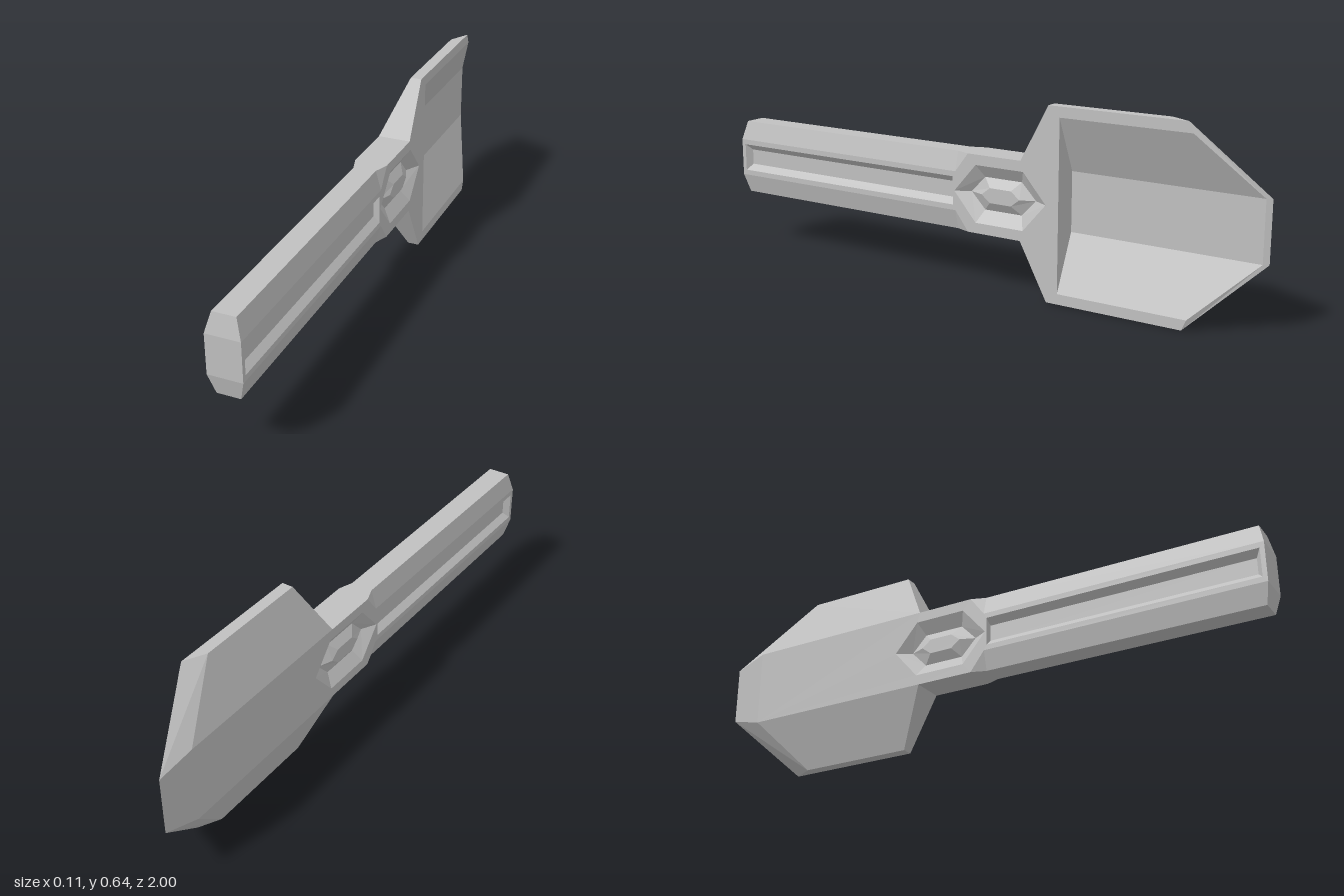
import * as THREE from 'three';

const MID = 0.321;            // height of the long axis
const X = 0.056;              // half thickness
const XT = 0.038;             // half width of the handle's top face
const H = 0.132, HF = 0.066;  // handle half height, half height of its flat side
const B = 0.32;               // blade half height

// Collects flat convex faces; each is wound to face the given outward direction.
function makePart(name, material) {
  const pos = [];
  const v = (p) => new THREE.Vector3(...p);
  return {
    face(out, ...pts) {
      const p = pts.map(v);
      for (let i = 1; i < p.length - 1; i++) {
        let a = p[0], b = p[i], c = p[i + 1];
        const n = b.clone().sub(a).cross(c.clone().sub(a));
        if (n.dot(v(out)) < 0) [b, c] = [c, b];
        for (const q of [a, b, c]) pos.push(q.x, q.y + MID, q.z);
      }
    },
    mesh() {
      const g = new THREE.BufferGeometry();
      g.setAttribute('position', new THREE.Float32BufferAttribute(pos, 3));
      g.computeVertexNormals();
      const m = new THREE.Mesh(g, material);
      m.name = name;
      return m;
    },
  };
}

// Outlines in the side plane, as [z, height] pairs
const hexagon = (len, flat, h) =>
  [[len, 0], [flat, h], [-flat, h], [-len, 0], [-flat, -h], [flat, -h]].map(([z, y]) => [z - 0.12, y]);
const rect = (z0, z1, h) => [[z0, h], [z1, h], [z1, -h], [z0, -h]];

// Sloped faces joining two outlines at different depths, plus a flat floor
function sink(part, side, loops, depths) {
  const at = (p, x) => [side * x, p[1], p[0]];
  for (let k = 0; k < loops.length - 1; k++) {
    loops[k].forEach((p, i) => {
      const j = (i + 1) % loops[k].length;
      part.face([side, 0, 0], at(p, depths[k]), at(loops[k][j], depths[k]),
        at(loops[k + 1][j], depths[k + 1]), at(loops[k + 1][i], depths[k + 1]));
    });
  }
  const last = loops.length - 1;
  part.face([side, 0, 0], ...loops[last].map((p) => at(p, depths[last])));
}

export function createModel() {
  const grey = new THREE.MeshStandardMaterial({ color: 0xc0c0c0, side: THREE.DoubleSide, flatShading: true });
  grey.name = 'light grey';
  const handle = makePart('handle', grey);
  const sides = makePart('sidePanels', grey);
  const slots = makePart('handleSlots', grey);
  const hub = makePart('hexagonalHub', grey);
  const blade = makePart('scoopBlade', grey);

  const slot = [rect(0.985, 0.06, 0.048), rect(0.968, 0.064, 0.027)];
  const hexes = [hexagon(0.174, 0.09, 0.097), hexagon(0.123, 0.07, 0.055), hexagon(0.072, 0.04, 0.025)];

  // Flat sides with openings for the slot and hub; the +x side also frames the scoop
  const handleEdge = [[1, HF], [0.05, HF], [0, H], [-0.2, H]];
  const edges = {
    '1': [...handleEdge, [-0.3, B], [-0.77, B], [-0.785, 0.285], [-0.34, 0.285]],
    '-1': [...handleEdge, [-0.88, H]],
  };
  for (const s of [1, -1]) {
    const upper = edges[s];
    const outline = [...upper, ...upper.map(([z, y]) => [z, -y]).reverse()];
    const toV2 = (loop) => loop.map((p) => new THREE.Vector2(...p));
    let contour = toV2(outline);
    if (THREE.ShapeUtils.isClockWise(contour)) contour.reverse();
    const holes = [slot[0], hexes[0]].map((l) => {
      const h = toV2(l);
      return THREE.ShapeUtils.isClockWise(h) ? h : h.reverse();
    });
    const all = [contour, ...holes].flat();
    for (const tri of THREE.ShapeUtils.triangulateShape(contour, holes)) {
      sides.face([s, 0, 0], ...tri.map((i) => [s * X, all[i].y, all[i].x]));
    }
    sink(slots, s, slot, [X, 0.036]);
    sink(hub, s, hexes, [X, 0.028, 0.048]);
  }

  // Handle end
  handle.face([0, 0, 1], [-X, -HF, 1], [X, -HF, 1], [X, HF, 1], [-X, HF, 1]);

  // Everything mirrored above and below the long axis
  for (const t of [1, -1]) {
    const h = t * H, f = t * HF, b = t * B, c = t * 0.285, d = t * 0.1;
    // handle: sloped end, narrow face, widening neck
    handle.face([0, t, 1], [-X, f, 1], [X, f, 1], [XT, h, 0.985], [-XT, h, 0.985]);
    handle.face([0, t, 0], [-XT, h, 0.985], [XT, h, 0.985], [XT, h, 0.05], [-XT, h, 0.05]);
    handle.face([0, t, 0], [-XT, h, 0.05], [XT, h, 0.05], [X, h, 0], [-X, h, 0]);
    handle.face([0, t, 0], [-X, h, 0], [X, h, 0], [X, h, -0.2], [-X, h, -0.2]);
    // handle: long chamfers and their corner triangles
    for (const s of [1, -1]) {
      handle.face([s, t, 0], [s * X, f, 1], [s * X, f, 0.05], [s * XT, h, 0.05], [s * XT, h, 0.985]);
      handle.face([s, t, 0.5], [s * X, f, 0.05], [s * XT, h, 0.05], [s * X, h, 0]);
    }
    // blade: shoulder, outer edge, sloped back, bevelled tip corner
    const S = [0.018, b, -0.7], U = [X, b, -0.77], A = [-X, h, -0.88], T = [-0.038, d, -1];
    blade.face([0, t, 1], [-X, h, -0.2], [X, h, -0.2], [X, b, -0.3], [0.018, b, -0.3]);
    blade.face([0, t, 0], [0.018, b, -0.3], [X, b, -0.3], U, S);
    blade.face([-1, t, 0], [-X, h, -0.2], [0.018, b, -0.3], S, A);
    blade.face([-1, t * 0.5, -1], S, U, T, A);
    // blade: sloped wall of the hollow and its thin rim
    const C3 = [X, c, -0.785], C4 = [-0.03, d, -0.982];
    blade.face([1, -t, 0], [X, c, -0.34], [-0.03, d, -0.34], C4, C3);
    blade.face([1, 0, 0], U, T, C4, C3);
  }

  // Blade: floor and inner end of the hollow, tip bevel and tip rim
  blade.face([1, 0, 0], [-0.03, 0.1, -0.34], [-0.03, -0.1, -0.34], [-0.03, -0.1, -0.982], [-0.03, 0.1, -0.982]);
  blade.face([0, 0, -1], [X, 0.285, -0.34], [X, -0.285, -0.34], [-0.03, -0.1, -0.34], [-0.03, 0.1, -0.34]);
  blade.face([-1, 0, -1], [-X, H, -0.88], [-X, -H, -0.88], [-0.038, -0.1, -1], [-0.038, 0.1, -1]);
  blade.face([1, 0, 0], [-0.038, 0.1, -1], [-0.038, -0.1, -1], [-0.03, -0.1, -0.982], [-0.03, 0.1, -0.982]);

  const group = new THREE.Group();
  group.name = 'scoop';
  for (const part of [handle, sides, slots, hub, blade]) group.add(part.mesh());
  return group;
}
